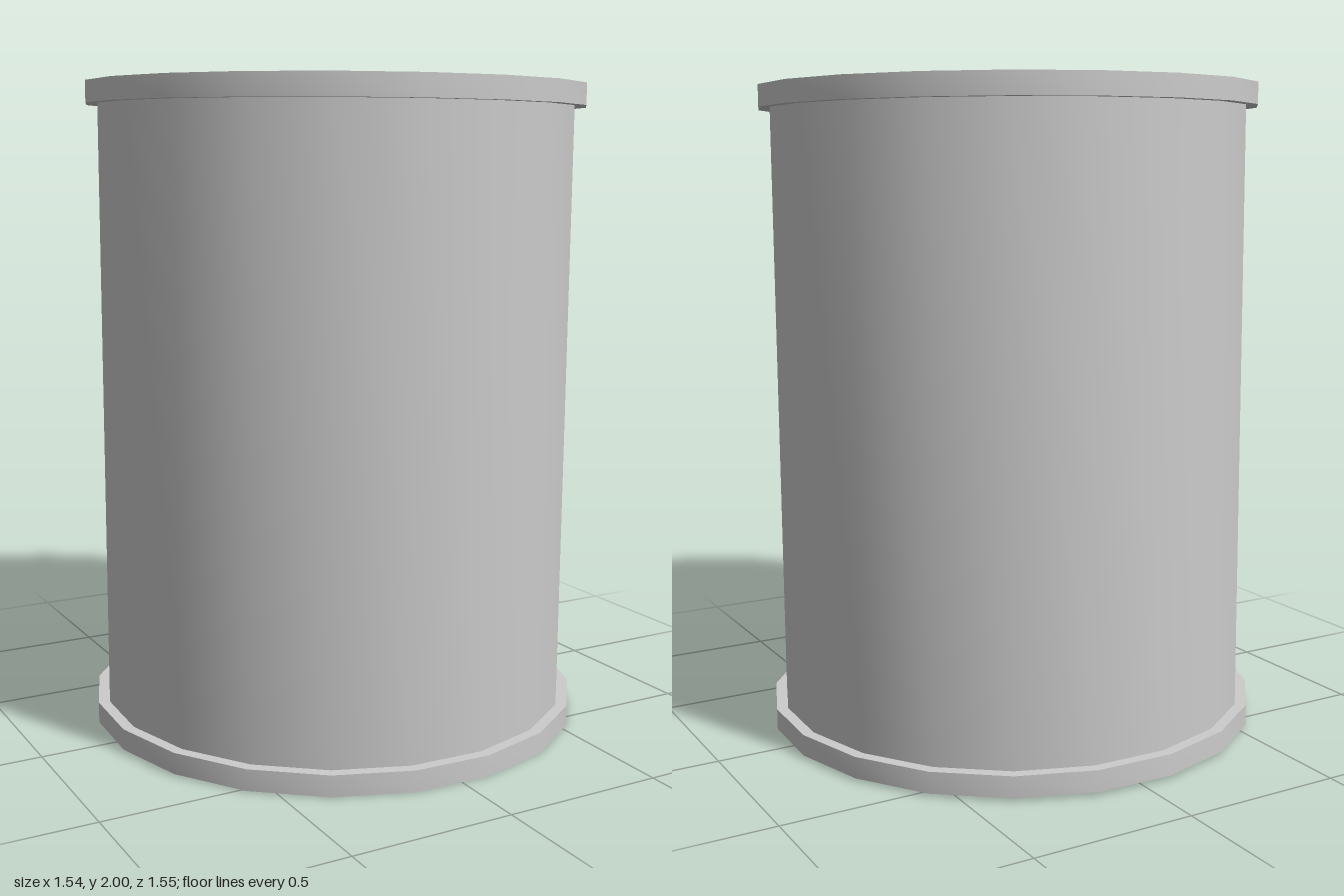
import * as THREE from 'three';
import { toCreasedNormals } from 'three/addons/utils/BufferGeometryUtils.js';

const SIDES = 20;
const PHI = THREE.MathUtils.degToRad(6.8);
const HEIGHT = 1.987;
const RIM = 0.065; // rim height
const R_RIM = 0.775;
const R_BODY = 0.74;

const material = new THREE.MeshStandardMaterial({ color: 0xcccccc });

// Turn a [radius, height] profile, keeping sharp edges between its faces
function turned(name, profile) {
  const points = profile.map(([r, y]) => new THREE.Vector2(r, y));
  const lathe = new THREE.LatheGeometry(points, SIDES, PHI);
  const mesh = new THREE.Mesh(toCreasedNormals(lathe, Math.PI / 7), material);
  mesh.name = name;
  return mesh;
}

export function createModel() {
  const drum = new THREE.Group();
  drum.name = 'drum';

  // Bottom rim with flat closed base
  drum.add(turned('bottomRim', [[0, 0], [R_RIM, 0], [R_RIM, RIM], [R_BODY, RIM]]));

  // Straight wall between the rims
  drum.add(turned('body', [[R_BODY, RIM], [R_BODY, HEIGHT - RIM]]));

  // Top rim, with a narrow groove around its inner edge
  drum.add(turned('topRim', [
    [R_BODY, HEIGHT - RIM], [R_RIM, HEIGHT - RIM], [R_RIM, HEIGHT],
    [0.718, HEIGHT], [0.714, HEIGHT - 0.014],
  ]));

  // Lid set just below the rim, with a bevelled edge
  drum.add(turned('lid', [[0.714, HEIGHT - 0.014], [0.703, HEIGHT - 0.006], [0, HEIGHT - 0.006]]));

  // The drum leans very slightly
  drum.rotation.set(0.0075, 0, -0.002);
  drum.position.set(-0.002, 0.006, -0.0075);

  const model = new THREE.Group();
  model.name = 'model';
  model.add(drum);
  return model;
}
